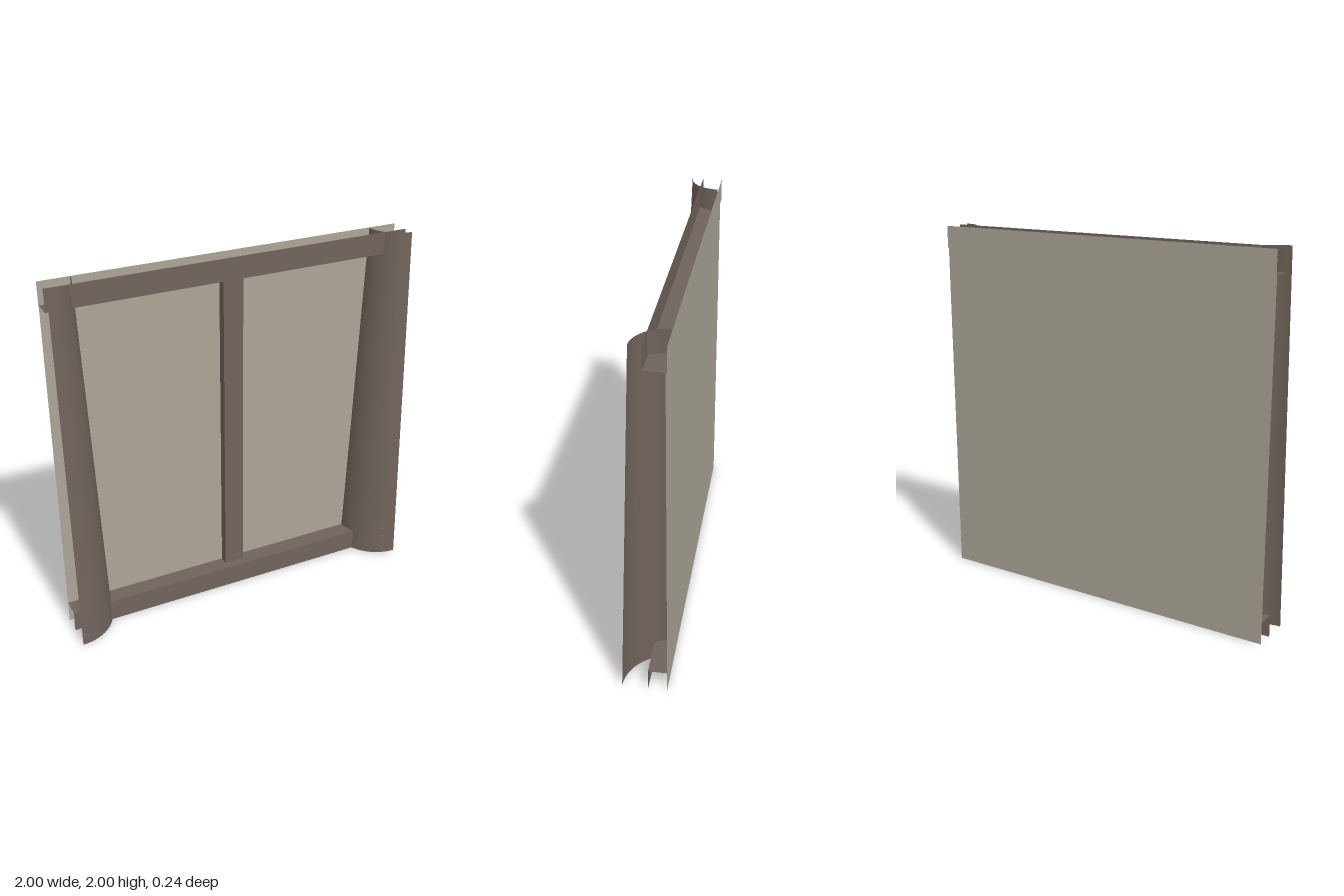
import * as THREE from 'three';
import { ParametricGeometry } from 'three/addons/geometries/ParametricGeometry.js';

const PANEL_Z = -0.115, STRIP_Z = -0.121, BEAM_Z = -0.016, AXIS_Z = -0.12;
const SILL_Y = 0.12, LINTEL_Y = 1.88, TOP = 2;

const timber = new THREE.MeshStandardMaterial({ color: 0x70645c, side: THREE.DoubleSide });
timber.name = 'brown timber';
const plaster = new THREE.MeshStandardMaterial({ color: 0xaca597, side: THREE.DoubleSide });
plaster.name = 'pale plaster';

function add(group, name, geometry, material, x = 0, y = 0, z = 0) {
  const mesh = new THREE.Mesh(geometry, material);
  mesh.name = name;
  mesh.position.set(x, y, z);
  group.add(mesh);
  return mesh;
}

// Upright sheet across the full width
const sheet = (y0, y1) => new THREE.PlaneGeometry(2, y1 - y0).translate(0, (y0 + y1) / 2, 0);

// Level sheet across the full width, facing up or down
function shelf(z0, z1, up) {
  return new THREE.PlaneGeometry(2, z1 - z0)
    .rotateX(up ? -Math.PI / 2 : Math.PI / 2)
    .translate(0, 0, (z0 + z1) / 2);
}

// Tapered quarter-round shell, cut off behind zCut
function columnShell(side, y0, y1, zCut) {
  return new ParametricGeometry((u, v, target) => {
    const y = y0 + (y1 - y0) * v;
    const r = 0.24 - 0.075 * y / TOP;
    const a = (side > 0 ? 1 - u : u) * Math.acos((zCut - AXIS_Z) / r);
    target.set(side * (1 - r * Math.sin(a)), y, AXIS_Z + r * Math.cos(a));
  }, 16, 2);
}

export function createModel() {
  const model = new THREE.Group();
  model.name = 'wallSection';

  // Wall surfaces
  add(model, 'wallPanel', sheet(0, LINTEL_Y), plaster, 0, 0, PANEL_Z);
  add(model, 'upperWallStrip', sheet(LINTEL_Y, TOP), plaster, 0, 0, STRIP_Z);

  // Open L-shaped beams along the top and bottom
  const lintel = new THREE.Group();
  lintel.name = 'lintel';
  add(lintel, 'lintelFace', sheet(LINTEL_Y, TOP), timber, 0, 0, BEAM_Z);
  add(lintel, 'lintelUnderside', shelf(STRIP_Z, BEAM_Z, false), timber, 0, LINTEL_Y);
  const sill = new THREE.Group();
  sill.name = 'sill';
  add(sill, 'sillFace', sheet(0, SILL_Y), timber, 0, 0, BEAM_Z);
  add(sill, 'sillTop', shelf(PANEL_Z, BEAM_Z, true), timber, 0, SILL_Y);
  model.add(lintel, sill);

  // Centre post
  add(model, 'centrePost', new THREE.BoxGeometry(0.112, LINTEL_Y - SILL_Y, 0.05),
    timber, 0, TOP / 2, -0.089);

  // Tapered columns at both ends; the foot stops at the sill face
  for (const side of [-1, 1]) {
    const column = new THREE.Group();
    column.name = side > 0 ? 'leftColumn' : 'rightColumn';
    add(column, 'columnShaft', columnShell(side, SILL_Y, TOP, PANEL_Z), timber);
    add(column, 'columnFoot', columnShell(side, 0, SILL_Y, BEAM_Z), timber);
    model.add(column);
  }
  return model;
}
